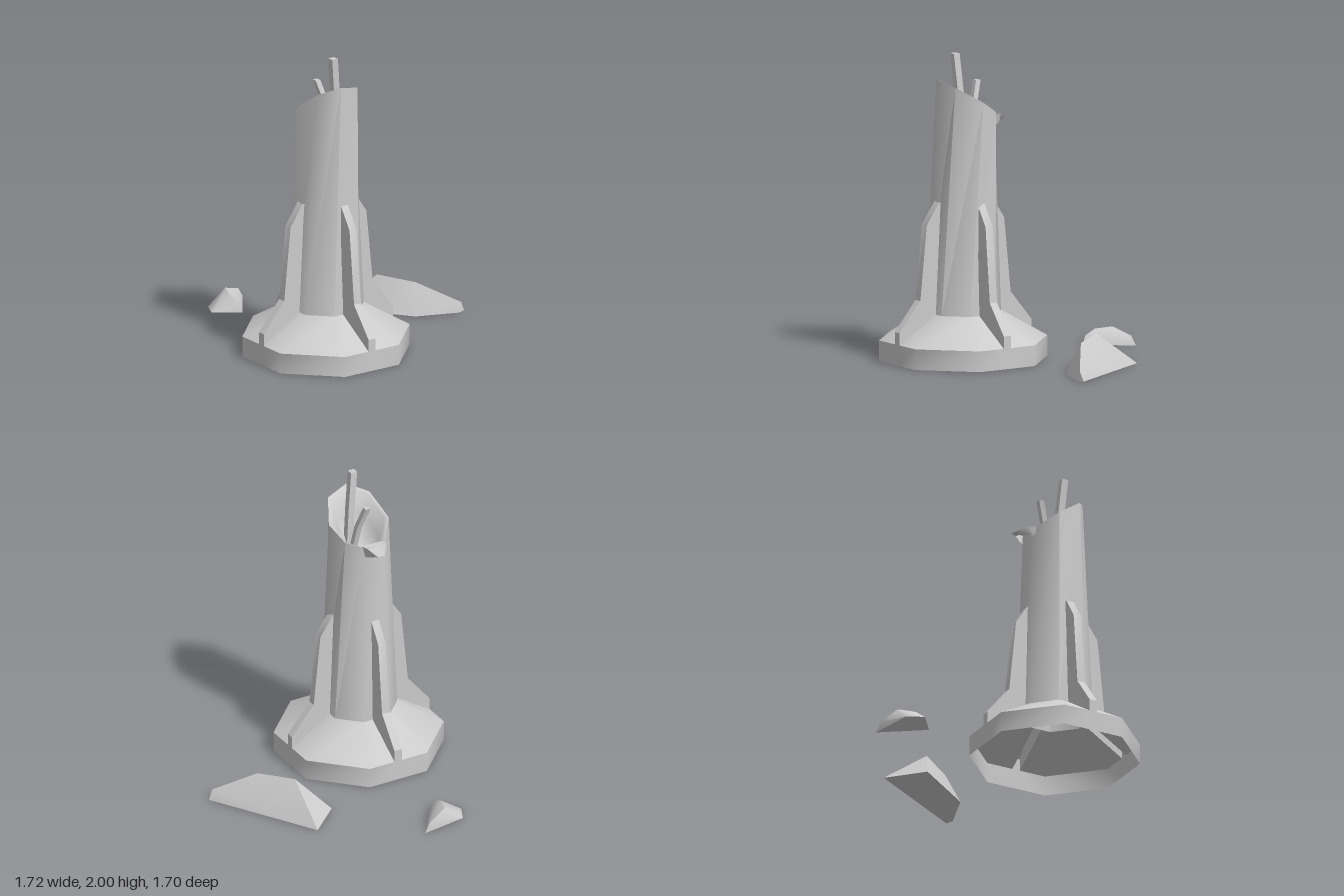
import * as THREE from 'three';
import { toCreasedNormals, mergeVertices } from 'three/addons/utils/BufferGeometryUtils.js';
import { ConvexGeometry } from 'three/addons/geometries/ConvexGeometry.js';

const CX = 0.346, CZ = 0.34; // tower axis
const HALF = 0.0275;         // half the fin thickness
const material = new THREE.MeshStandardMaterial({ color: 0xcccccc, side: THREE.DoubleSide });

function mesh(name, geometry) {
  const m = new THREE.Mesh(geometry, material);
  m.name = name;
  return m;
}

// Skins a list of rings of [x, y, z]; skip(i) leaves a strip open.
function loft(rings, { closed = true, skip = () => false, crease = 0.95 } = {}) {
  const n = rings[0].length, index = [];
  for (let k = 0; k < rings.length - 1; k++) {
    for (let i = 0; i < (closed ? n : n - 1); i++) {
      if (skip(i)) continue;
      const a = k * n + i, b = k * n + (i + 1) % n;
      index.push(a, b, b + n, a, b + n, a + n);
    }
  }
  const g = new THREE.BufferGeometry();
  g.setAttribute('position', new THREE.Float32BufferAttribute(rings.flat(2), 3));
  g.setIndex(index);
  return toCreasedNormals(g, crease);
}

// Octagon around the tower axis, with extra points where fins meet its sides.
function octagon(r, y, offsets) {
  const ring = [], t = r * Math.tan(Math.PI / 8);
  for (let k = 0; k < 4; k++) {
    for (const s of offsets ?? [t, HALF, -HALF, -t]) {
      const [x, z] = [[r, s], [s, -r], [-r, -s], [-s, r]][k];
      ring.push([CX + x, y, CZ + z]);
    }
  }
  return ring;
}

// Four-sided rod through a few points
function rod(name, points, width) {
  const rings = points.map(([x, y, z]) =>
    [[1, 1], [1, -1], [-1, -1], [-1, 1]].map(([a, b]) => [x + a * width / 2, y, z + b * width / 2]));
  const top = rings[rings.length - 1];
  rings.push(top.map(() => points[points.length - 1]));
  return mesh(name, loft(rings, { crease: 0.3 }));
}

// Broken lump with softened upper faces
function shard(name, points) {
  const g = new ConvexGeometry(points.map(p => new THREE.Vector3(...p)));
  g.deleteAttribute('normal');
  return mesh(name, toCreasedNormals(mergeVertices(g), 0.95));
}

export function createModel() {
  const group = new THREE.Group();

  // Hollow skirt: upright wall and sloped roof with slots under the fins
  group.add(mesh('baseWall', loft([octagon(0.511, 0), octagon(0.511, 0.135)])));
  group.add(mesh('baseSlope', loft([octagon(0.511, 0.135), octagon(0.23, 0.31)],
    { skip: i => i % 4 === 1 })));

  // Column, ending in an uneven slanted break
  const t = 0.23 * Math.tan(Math.PI / 8);
  const foot = octagon(0.23, 0.31, [t, -t]);
  const rim = [
    [0.54, 1.84, 0.36], [0.50, 1.80, 0.20], [0.34, 1.70, 0.115], [0.21, 1.62, 0.16],
    [0.15, 1.575, 0.27], [0.145, 1.565, 0.41], [0.28, 1.67, 0.525], [0.45, 1.79, 0.48],
  ];
  group.add(mesh('column', loft([foot, rim])));

  // Sunken hollow inside the break
  const bowl = (s, drop, flat) => rim.map(([x, y, z]) => [
    CX + (x - CX) * s,
    THREE.MathUtils.lerp(y, 1.68, flat) - drop,
    0.325 + (z - 0.325) * s,
  ]);
  group.add(mesh('hollow', loft([
    rim, bowl(0.88, 0.01, 0), bowl(0.66, 0.12, 0.3), bowl(0.35, 0.2, 0.8), bowl(0, 0.21, 1),
  ], { crease: 1.2 })));

  // Four fins: [outer radius, outer y, inner radius, inner y] from bottom to top
  const sections = [
    [0.511, 0.135, 0.511, 0.135], [0.511, 0.215, 0.49, 0.148], [0.35, 0.41, 0.228, 0.311],
    [0.30, 0.90, 0.20, 0.90], [0.205, 1.04, 0.19, 1.04],
  ];
  for (let k = 0; k < 4; k++) {
    const fin = mesh('fin', loft(sections.map(([ro, yo, ri, yi]) =>
      [[ri, yi, HALF], [ro, yo, HALF], [ro, yo, -HALF], [ri, yi, -HALF]]),
    { closed: false, crease: 0.5 }));
    fin.position.set(CX, 0, CZ);
    fin.rotation.y = k * Math.PI / 2;
    group.add(fin);
  }

  // Bent scrap of plating on the low side of the rim
  const lipTop = [[0.16, 1.585, 0.26], [0.105, 1.59, 0.27], [0.04, 1.55, 0.31],
    [0.05, 1.545, 0.36], [0.11, 1.575, 0.41], [0.16, 1.575, 0.43]];
  const lipLow = [[0.16, 1.51, 0.27], [0.12, 1.52, 0.28], [0.075, 1.535, 0.315],
    [0.08, 1.53, 0.36], [0.12, 1.52, 0.40], [0.16, 1.51, 0.42]];
  const lipBack = lipTop.map(([, , z]) => [0.18, 1.575, z]);
  group.add(mesh('rimLip', loft([lipBack, lipTop, lipLow], { closed: false })));

  // Bars sticking out of the hollow
  group.add(rod('tallBar', [[0.395, 1.48, 0.29], [0.40, 1.75, 0.307], [0.415, 2.0, 0.333]], 0.045));
  group.add(rod('shortBar', [[0.325, 1.48, 0.285], [0.29, 1.66, 0.305], [0.24, 1.81, 0.34]], 0.036));

  // Debris on the ground
  group.add(shard('largeShard', [
    [0.21, 0, -0.85], [0.23, 0, -0.80], [0.13, 0, -0.52], [-0.28, 0, -0.22], [-0.48, 0, -0.44],
    [0.22, 0.065, -0.82], [0.05, 0.2, -0.58], [-0.17, 0.222, -0.43],
  ]));
  group.add(shard('smallShard', [
    [-0.86, 0, 0.14], [-0.58, 0, 0.34], [-0.70, 0, 0.50], [-0.81, 0, 0.45],
    [-0.85, 0.06, 0.18], [-0.80, 0.105, 0.32], [-0.69, 0.095, 0.36], [-0.61, 0.06, 0.35],
  ]));

  return group;
}
